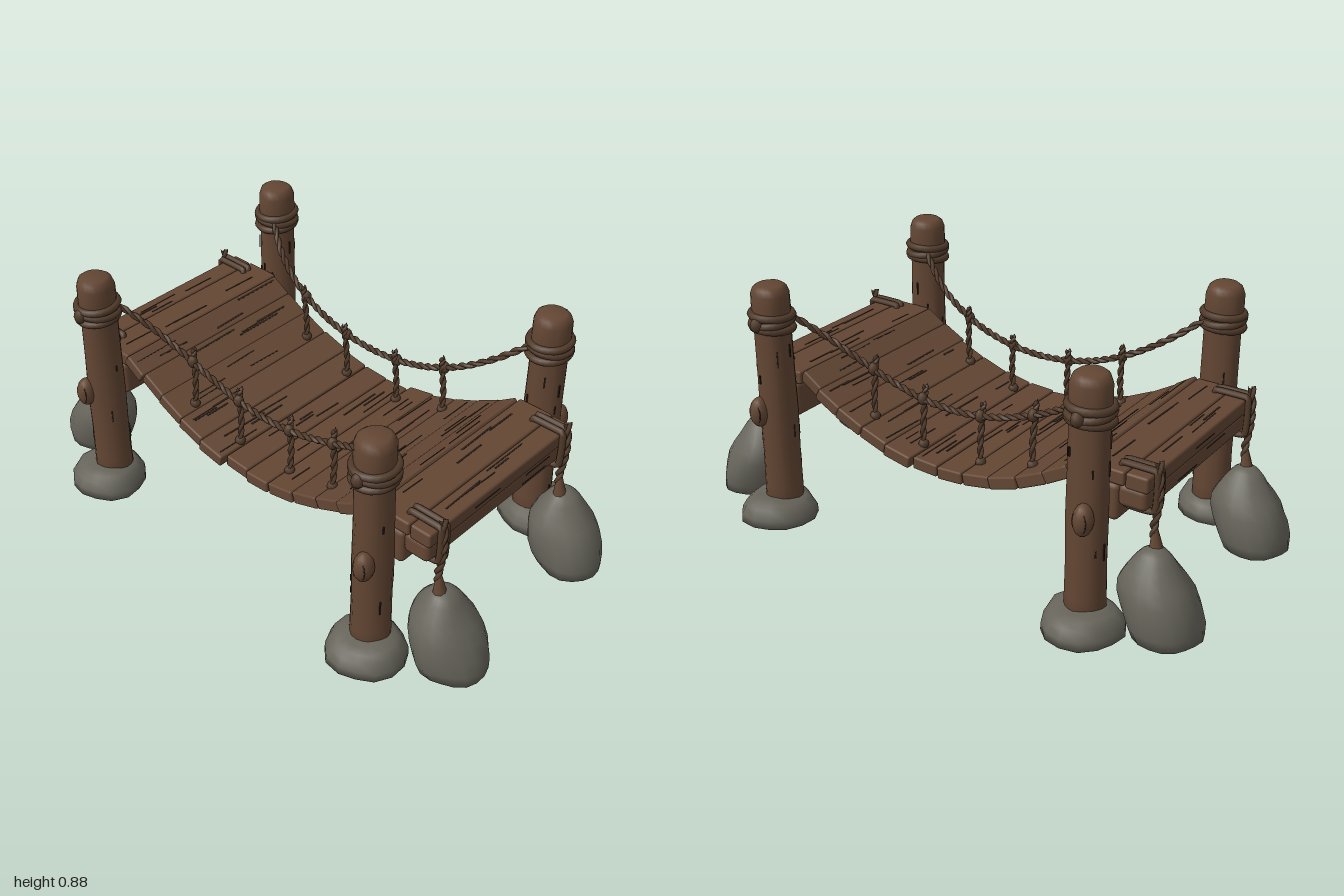
import * as THREE from 'three';
import { mergeVertices } from 'three/addons/utils/BufferGeometryUtils.js';
import { RoundedBoxGeometry } from 'three/addons/geometries/RoundedBoxGeometry.js';

const mat = (name, color) => Object.assign(new THREE.MeshStandardMaterial({ color }), { name });

export function createModel() {
  const model = new THREE.Group();
  model.name = 'ropeBridge';
  const wood = mat('wood', 0x634633);
  const crackDark = mat('crackDark', 0x2b1f18);
  const rope = mat('rope', 0x503a2a);
  const stone = mat('stone', 0x66645a);

  let seed = 11;
  const rand = (a, b) => {
    seed = (seed * 16807) % 2147483647;
    return a + (b - a) * (seed / 2147483647);
  };

  function add(parent, name, geometry, material, x = 0, y = 0, z = 0) {
    const mesh = new THREE.Mesh(geometry, material);
    mesh.name = name;
    mesh.position.set(x, y, z);
    parent.add(mesh);
    return mesh;
  }

  // Lathe whose vertices are pushed around by a rule, with smooth seams
  function organic(profile, segments, rule) {
    const pts = profile.map(([r, y]) => new THREE.Vector2(r, y));
    const geo = new THREE.LatheGeometry(pts, segments);
    geo.deleteAttribute('uv');
    geo.deleteAttribute('normal');
    const p = geo.attributes.position;
    const v = new THREE.Vector3();
    for (let i = 0; i < p.count; i++) {
      v.fromBufferAttribute(p, i);
      rule(v, Math.atan2(v.z, v.x));
      p.setXYZ(i, v.x, v.y, v.z);
    }
    const merged = mergeVertices(geo, 1e-4);
    merged.computeVertexNormals();
    return merged;
  }

  // Two-strand twisted rope along a path
  class Strand extends THREE.Curve {
    constructor(path, r, turns, phase) {
      super();
      Object.assign(this, { path, r, turns, phase });
    }
    getPoint(t, target = new THREE.Vector3()) {
      const tan = this.path.getTangent(t);
      const n = new THREE.Vector3(-tan.y, tan.x, 0).normalize();
      const a = this.phase + t * this.turns * Math.PI * 2;
      this.path.getPoint(t, target).addScaledVector(n, Math.cos(a) * this.r);
      target.z += Math.sin(a) * this.r;
      return target;
    }
  }
  function twistedRope(parent, name, points, r) {
    const path = new THREE.CatmullRomCurve3(points);
    const turns = path.getLength() / (r * 6);
    const group = new THREE.Group();
    group.name = name;
    parent.add(group);
    for (const phase of [0, Math.PI]) {
      const strand = new Strand(path, r * 0.45, turns, phase);
      add(group, 'strand', new THREE.TubeGeometry(strand, Math.ceil(turns * 8), r * 0.62, 6), rope);
    }
  }

  // Planks lie across the bridge, with long cracks on their top faces
  function plank(name, x, y, width, height, depth, tilt = 0, z = 0) {
    const group = new THREE.Group();
    group.name = name;
    group.position.set(x, y, z);
    group.rotation.z = tilt;
    model.add(group);
    const geo = new RoundedBoxGeometry(width, height, depth, 2, Math.min(width, height) * 0.16);
    add(group, 'board', geo, wood);
    for (let i = 0; i < 4; i++) {
      const len = rand(0.06, 0.2);
      const crack = add(group, 'crack', new THREE.BoxGeometry(rand(0.003, 0.007), 0.003, len), crackDark,
        rand(-0.35, 0.35) * width, height / 2, rand(-0.5, 0.5) * (depth - len - 0.03));
      crack.rotation.y = rand(-0.03, 0.03);
    }
  }

  // Sagging deck
  for (const [x, w] of [[0.053, 0.1], [0.163, 0.108], [0.272, 0.106], [0.378, 0.104], [0.472, 0.09], [0.553, 0.075]]) {
    for (const s of [-1, 1]) {
      const tilt = Math.atan(1.2 * x) * s;
      plank('deckPlank', x * s, 0.317 + 0.6 * x * x, w / Math.cos(tilt), 0.045,
        rand(0.735, 0.76), tilt + rand(-0.03, 0.03), rand(-0.008, 0.008));
    }
  }

  // End platforms with the beams beneath them
  for (const s of [-1, 1]) {
    plank('platformInnerPlank', s * 0.655, 0.515, 0.135, 0.05, 0.755, 0);
    plank('platformOuterPlank', s * 0.765, 0.512, 0.08, 0.055, 0.75, 0);
    add(model, 'outerBeam', new RoundedBoxGeometry(0.1, 0.075, 0.75, 2, 0.018), wood, s * 0.75, 0.455, 0);
    add(model, 'innerBeam', new RoundedBoxGeometry(0.1, 0.13, 0.76, 2, 0.018), wood, s * 0.655, 0.425, 0);
    for (let i = 0; i < 3; i++) {
      add(model, 'beamCrack', new THREE.BoxGeometry(0.003, 0.004, 0.13), crackDark,
        s * (i ? 0.8 : 0.805), [0.51, 0.47, 0.44][i], rand(-0.25, 0.2));
    }
  }

  const postProfile = [[0, 0], [0.07, 0], [0.068, 0.12], [0.066, 0.25], [0.068, 0.4], [0.065, 0.55], [0.064, 0.7],
    [0.067, 0.8], [0.066, 0.85], [0.058, 0.872], [0.045, 0.882], [0, 0.885]];
  const baseProfile = [[0, 0], [0.1, 0], [0.138, 0], [0.136, 0.03], [0.12, 0.06], [0.1, 0.076], [0.07, 0.083], [0, 0.083]];
  const boulderProfile = [[0, 0], [0.08, 0], [0.117, 0], [0.127, 0.04], [0.13, 0.09], [0.125, 0.14], [0.112, 0.18],
    [0.088, 0.22], [0.065, 0.255], [0.045, 0.278], [0.022, 0.288], [0, 0.29]];

  for (const sx of [-1, 1]) for (const sz of [-1, 1]) {
    const corner = new THREE.Group();
    corner.name = 'cornerSupport';
    model.add(corner);
    const ph = rand(0, 6);
    const px = sx * 0.638;
    const pz = sz * 0.443;

    // Post
    add(corner, 'post', organic(postProfile, 20, (v, a) => {
      const k = 1 + 0.025 * Math.sin(3 * a + ph + v.y * 5) + 0.015 * Math.sin(7 * a + ph);
      v.x *= k;
      v.z *= k;
    }), wood, px, 0, pz);
    for (let i = 0; i < 14; i++) {
      const a = rand(0, Math.PI * 2);
      const crack = add(corner, 'postCrack', new THREE.BoxGeometry(0.005, rand(0.02, 0.06), 0.004), crackDark,
        px + Math.sin(a) * 0.067, rand(0.13, 0.68), pz + Math.cos(a) * 0.067);
      crack.rotation.y = a;
    }

    // Branch stub on the outside of the post
    const stub = add(corner, 'branchStub', new THREE.SphereGeometry(1, 12, 10), wood, px + sx * 0.025, 0.42, sz * 0.513);
    stub.scale.set(0.034, 0.056, 0.037);
    const ringMesh = add(corner, 'stubRing', new THREE.TorusGeometry(0.024, 0.003, 5, 14), crackDark,
      px + sx * 0.025, 0.42, sz * 0.536);
    ringMesh.scale.y = 1.5;

    // Rope wound round the post, with a knot
    [0.73, 0.752, 0.775].forEach((y, i) => {
      const loop = add(corner, 'postRope', new THREE.TorusGeometry(0.071, 0.0135, 7, 24), rope, px, y, pz);
      loop.rotation.set(Math.PI / 2 + [0.08, -0.07, 0.05][i], [0.05, -0.06, 0.03][i], 0);
    });
    const knot = add(corner, 'postKnot', new THREE.SphereGeometry(0.022, 8, 6), rope, px, 0.755, pz + sz * 0.078);
    knot.scale.y = 1.2;

    // Flat stone under the post
    add(corner, 'baseStone', organic(baseProfile, 14, (v, a) => {
      const k = 1 + 0.035 * Math.sin(3 * a + ph) + 0.02 * Math.sin(5 * a - ph);
      v.x *= k;
      v.z *= k;
      if (v.y > 0.05) v.y += 0.006 * Math.sin(2 * a + ph);
    }), stone, sx * 0.646, 0, sz * 0.468);

    // Leaning anchor boulder
    const bz = sz > 0 ? 0.312 : -0.343;
    add(corner, 'anchorBoulder', organic(boulderProfile, 18, (v, a) => {
      const k = 1 + 0.035 * Math.sin(3 * a + ph + v.y * 14) + 0.025 * Math.sin(5 * a - ph + v.y * 25);
      const lean = Math.min(v.y / 0.2, 1);
      v.x = v.x * k - sx * 0.055 * lean;
      v.z = v.z * k * 0.98;
    }), stone, sx * 0.88, 0, bz);

    // Tether from the boulder to the platform
    const tz = sz * 0.325;
    const spike = add(corner, 'tetherSpike', new THREE.CylinderGeometry(0.007, 0.026, 0.1, 8), wood, sx * 0.815, 0.315, tz);
    spike.rotation.z = sx * 0.12;
    twistedRope(corner, 'tether', [[0.815, 0.28], [0.808, 0.35], [0.818, 0.42], [0.822, 0.49], [0.815, 0.585]]
      .map(([x, y]) => new THREE.Vector3(sx * x, y, tz)), 0.014);
    for (const dz of [-0.013, 0.013]) {
      const loop = [[0.7, 0.41], [0.81, 0.412], [0.815, 0.54], [0.805, 0.55], [0.7, 0.55], [0.69, 0.54]]
        .map(([x, y]) => new THREE.Vector3(sx * x, y, sz * 0.318 + dz));
      const path = new THREE.CatmullRomCurve3(loop, true, 'catmullrom', 0.2);
      add(corner, 'beamLashing', new THREE.TubeGeometry(path, 40, 0.012, 7, true), rope);
    }
  }

  // Handrails with hanging ropes
  const railY = (x) => 0.515 + 0.68 * x * x;
  const railZ = (x) => 0.278 + 0.85 * x ** 4;
  for (const s of [-1, 1]) {
    const points = [];
    for (let i = -6; i <= 6; i++) points.push(new THREE.Vector3(i / 10, railY(i / 10), s * railZ(i / 10)));
    twistedRope(model, 'handrail', points, 0.0125);
    for (const x of [-0.335, -0.12, 0.12, 0.325]) {
      const z = s * railZ(x);
      const low = 0.335 + 0.6 * x * x;
      const high = railY(x) + 0.048;
      twistedRope(model, 'hangerRope', [0, 0.4, 0.8, 1].map((t) =>
        new THREE.Vector3(x + 0.004 * Math.sin(t * 5), low + (high - low) * t, z - s * 0.012 * t)), 0.0115);
      const knot = add(model, 'hangerKnot', new THREE.SphereGeometry(0.019, 8, 6), rope, x, railY(x), z);
      knot.scale.y = 1.25;
      add(model, 'deckKnot', new THREE.SphereGeometry(0.019, 8, 6), rope, x, low + 0.01, z);
    }
  }

  return model;
}
